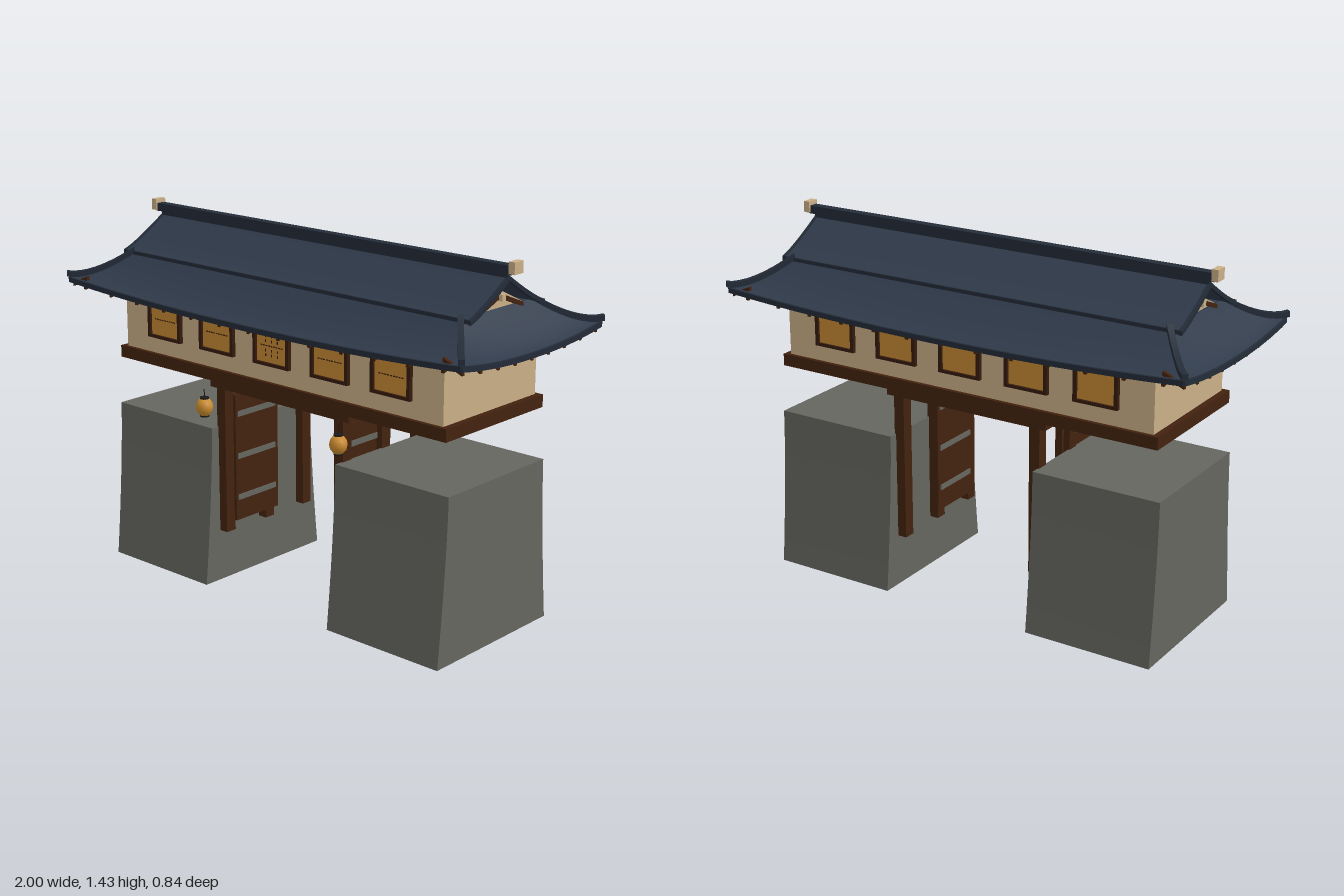
import * as THREE from 'three';
import { toCreasedNormals, mergeGeometries } from 'three/addons/utils/BufferGeometryUtils.js';

const V = (x, y, z) => new THREE.Vector3(x, y, z);
const mat = (name, color) => {
  const m = new THREE.MeshStandardMaterial({ color });
  m.name = name;
  return m;
};

// Closed solid through matching even-sided cross-sections, wound outwards
function loft(rings) {
  const tris = [];
  const quad = (a, b, c, d) => tris.push([a, b, c], [a, c, d]);
  const n = rings[0].length;
  for (let i = 0; i < rings.length - 1; i++)
    for (let j = 0; j < n; j++) {
      const k = (j + 1) % n;
      quad(rings[i][j], rings[i][k], rings[i + 1][k], rings[i + 1][j]);
    }
  const first = rings[0], last = rings[rings.length - 1];
  for (let j = 0; j < n / 2 - 1; j++) {
    const a = n - 1 - j, b = n - 2 - j;
    quad(first[j], first[a], first[b], first[j + 1]);
    quad(last[j], last[j + 1], last[b], last[a]);
  }
  const centre = first[0];
  let volume = 0;
  for (const [a, b, c] of tris)
    volume += a.clone().sub(centre).dot(b.clone().sub(centre).cross(c.clone().sub(centre)));
  const pos = [];
  for (const [a, b, c] of tris)
    for (const p of volume < 0 ? [a, c, b] : [a, b, c]) pos.push(p.x, p.y, p.z);
  const g = new THREE.BufferGeometry();
  g.setAttribute('position', new THREE.Float32BufferAttribute(pos, 3));
  g.computeVertexNormals();
  return toCreasedNormals(g, 0.5);
}

// Rectangular bar swept along a list of points
function bar(pts, w, h) {
  return loft(pts.map((p, i) => {
    const d = pts[Math.min(i + 1, pts.length - 1)].clone().sub(pts[Math.max(i - 1, 0)]);
    const s = V(-d.z, 0, d.x).normalize().multiplyScalar(w / 2);
    return [[1, 1], [-1, 1], [-1, -1], [1, -1]].map(([a, b]) =>
      p.clone().addScaledVector(s, a).add(V(0, b * h / 2, 0)));
  }));
}

const range = (n, f) => Array.from({ length: n + 1 }, (_, i) => f(i / n));

export function createModel() {
  const model = new THREE.Group();
  model.name = 'gatehouse';
  const stone = mat('stone', 0x65665f), wood = mat('wood', 0x43220f);
  const plaster = mat('plaster', 0xcbb088), tile = mat('roofTile', 0x2f3a4a);
  const trim = mat('roofTrim', 0x232c38), paper = mat('windowPaper', 0xc58833);
  const frame = mat('darkWood', 0x351b0d), glow = mat('lanternPaper', 0xcb8c30);
  const iron = mat('iron', 0x66675f), black = mat('black', 0x1c1a18);

  const add = (name, geo, m, x = 0, y = 0, z = 0) => {
    const mesh = new THREE.Mesh(geo, m);
    mesh.name = name;
    mesh.position.set(x, y, z);
    model.add(mesh);
    return mesh;
  };
  // Box given by its limits
  const box = (name, m, x0, x1, y0, y1, z0, z1) =>
    add(name, new THREE.BoxGeometry(Math.abs(x1 - x0), y1 - y0, Math.abs(z1 - z0)), m,
      (x0 + x1) / 2, (y0 + y1) / 2, (z0 + z1) / 2);

  for (const s of [-1, 1]) {
    // Stone bases with curved battered front and back
    add('stoneBase', loft(range(10, t => {
      const z = 0.28 + 0.045 * Math.pow(1 - t, 1.5), y = 0.64 * t;
      return [V(s * 0.32, y, z), V(s * 0.845, y, z), V(s * 0.845, y, -z), V(s * 0.32, y, -z)];
    })), stone);

    // Gate posts
    for (const z of [-0.22, 0, 0.22])
      box('gatePost', wood, s * 0.282, s * 0.326, 0.21, 0.82, z - 0.024, z + 0.024);

    // Open door leaf with iron straps
    box('door', wood, s * 0.27, s * 0.3, 0.25, 0.765, -0.036, 0.2);
    for (const y of [0.345, 0.515, 0.688])
      box('doorStrap', iron, s * 0.266, s * 0.304, y - 0.011, y + 0.011, -0.02, 0.19);

    // Hanging lantern
    const body = [[0, -0.033], [0.018, -0.033], [0.03, -0.018], [0.034, 0], [0.03, 0.018], [0.018, 0.033], [0, 0.033]];
    add('lantern', new THREE.LatheGeometry(body.map(p => new THREE.Vector2(...p)), 16), glow, s * 0.346, 0.726, 0.292);
    for (const y of [0.691, 0.761])
      add('lanternCap', new THREE.CylinderGeometry(0.018, 0.018, 0.008, 12), black, s * 0.346, y, 0.292);
    add('lanternCord', new THREE.CylinderGeometry(0.002, 0.002, 0.035, 6), black, s * 0.346, 0.78, 0.292);
  }

  // Lintels, platform and walls
  for (const z of [-0.22, 0, 0.22])
    box('lintel', wood, -0.355, 0.355, 0.797, 0.837, z - 0.028, z + 0.028);
  box('platform', wood, -0.83, 0.83, 0.836, 0.884, -0.284, 0.284);
  box('walls', plaster, -0.805, 0.805, 0.884, 1.175, -0.268, 0.268);

  // Windows on front and back
  for (const s of [-1, 1])
    for (let i = -2; i <= 2; i++) {
      const x = i * 0.288, y = 1.025;
      box('windowPaper', paper, x - 0.085, x + 0.085, y - 0.064, y + 0.064, s * 0.267, s * 0.275);
      for (const e of [-1, 1]) {
        box('windowStile', frame, x + e * 0.076, x + e * 0.091, 0.955, 1.095, s * 0.266, s * 0.284);
        box('windowRail', frame, x - 0.091, x + 0.091, y + e * 0.07 - 0.006, y + e * 0.07 + 0.006, s * 0.266, s * 0.284);
      }
      if (s < 0) continue;
      // Fine lattice dashes
      for (let k = -4; k <= 4; k++)
        box('latticeDash', frame, x + k * 0.013 - 0.004, x + k * 0.013 + 0.004, y - 0.002, y + 0.002, 0.27, 0.277);
      if (i === 0)
        for (const dx of [-0.03, 0, 0.03])
          for (const dy of [-0.036, -0.018, 0.018, 0.036])
            box('latticeDash', frame, dx - 0.002, dx + 0.002, y + dy - 0.005, y + dy + 0.005, 0.27, 0.277);
    }

  // Lower roof surface: u runs along a side, v from top to eave
  const IX = 0.82, IZ = 0.205, EX = 0.985, EZ = 0.41;
  const height = (u, v) => 1.255 - 0.128 * (1 - Math.pow(1 - v, 1.35)) + 0.033 * Math.pow(Math.abs(u), 2.2) * v * v;
  const skirt = (side, u, v, dy = 0) => {
    const x = IX + (EX - IX) * v, z = IZ + (EZ - IZ) * v, y = height(u, v) + dy;
    return side % 2 ? V((side === 1 ? 1 : -1) * x, y, u * z) : V(u * x, y, (side ? -1 : 1) * z);
  };
  for (let side = 0; side < 4; side++) {
    const us = range(24, t => t * 2 - 1);
    add('lowerRoof', loft(us.map(u => [
      ...range(8, v => skirt(side, u, v)),
      ...range(8, v => skirt(side, u, 1 - v, -0.014)),
    ])), tile);
    add('eaveTrim', bar(us.map(u => skirt(side, u, 0.99, -0.008)), 0.01, 0.02), trim);

    // Rafter ends below the eaves
    const count = side % 2 ? 4 : 6, step = side % 2 ? 0.097 : 0.15;
    const rafters = [];
    for (let i = -count; i <= count; i++) {
      const c = i * step, half = side % 2 ? EZ : EX;
      if (Math.abs(c) > half - 0.02) continue;
      const pts = [0.45, 0.95].map(v => {
        const p = skirt(side, c / half, v, -0.024);
        if (side % 2) p.z = c; else p.x = c;
        return p;
      });
      rafters.push(bar(pts, 0.014, 0.016));
    }
    add('rafters', mergeGeometries(rafters), wood);
  }

  // Hip ridges with upturned tips
  for (const sx of [-1, 1])
    for (const sz of [-1, 1])
      add('hipRidge', bar(range(10, t => V(sx * (IX + (EX - IX + 0.005) * t), height(1, t) + 0.008 + 0.008 * t ** 4,
        sz * (IZ + (EZ - IZ + 0.005) * t))), 0.022, 0.022), trim);

  // Upper gable roof
  const slope = (s, x, t, dy = 0) => V(x, 1.258 + 0.118 * Math.pow(1 - t, 1.2) + dy, s * 0.214 * t);
  for (const s of [-1, 1]) {
    add('upperRoof', loft([-0.868, 0.868].map(x => [
      ...range(8, t => slope(s, x, t)),
      ...range(8, t => slope(s, x, 1 - t, -0.014)),
    ])), tile);
    box('upperEaveTrim', trim, -0.87, 0.87, 1.246, 1.26, s * 0.208, s * 0.216);
    for (const x of [-0.865, 0.865])
      add('vergeTrim', bar(range(8, t => slope(s, x, t, -0.007)), 0.014, 0.018), trim);
    // Barge boards in the gable
    for (const x of [-0.825, 0.825])
      add('bargeBoard', bar([V(x, 1.303, 0), V(x, 1.25, s * 0.135)], 0.02, 0.016), wood);
  }
  box('roofDeck', tile, -0.82, 0.82, 1.238, 1.25, -0.205, 0.205);

  // Plaster gable ends and beam ends
  add('gables', loft([-0.805, 0.805].map(x =>
    [V(x, 1.24, 0.19), V(x, 1.328, 0.002), V(x, 1.328, -0.002), V(x, 1.24, -0.19)])), plaster);
  for (const s of [-1, 1]) {
    box('beamEnd', plaster, s * 0.80, s * 0.85, 1.286, 1.31, -0.01, 0.01);
    box('ridgeEnd', plaster, s * 0.882, s * 0.908, 1.39, 1.434, -0.025, 0.025);
  }

  // Main ridge
  box('ridgeBase', trim, -0.868, 0.868, 1.36, 1.39, -0.008, 0.008);
  box('ridge', trim, -0.89, 0.89, 1.386, 1.418, -0.018, 0.018);

  return model;
}
